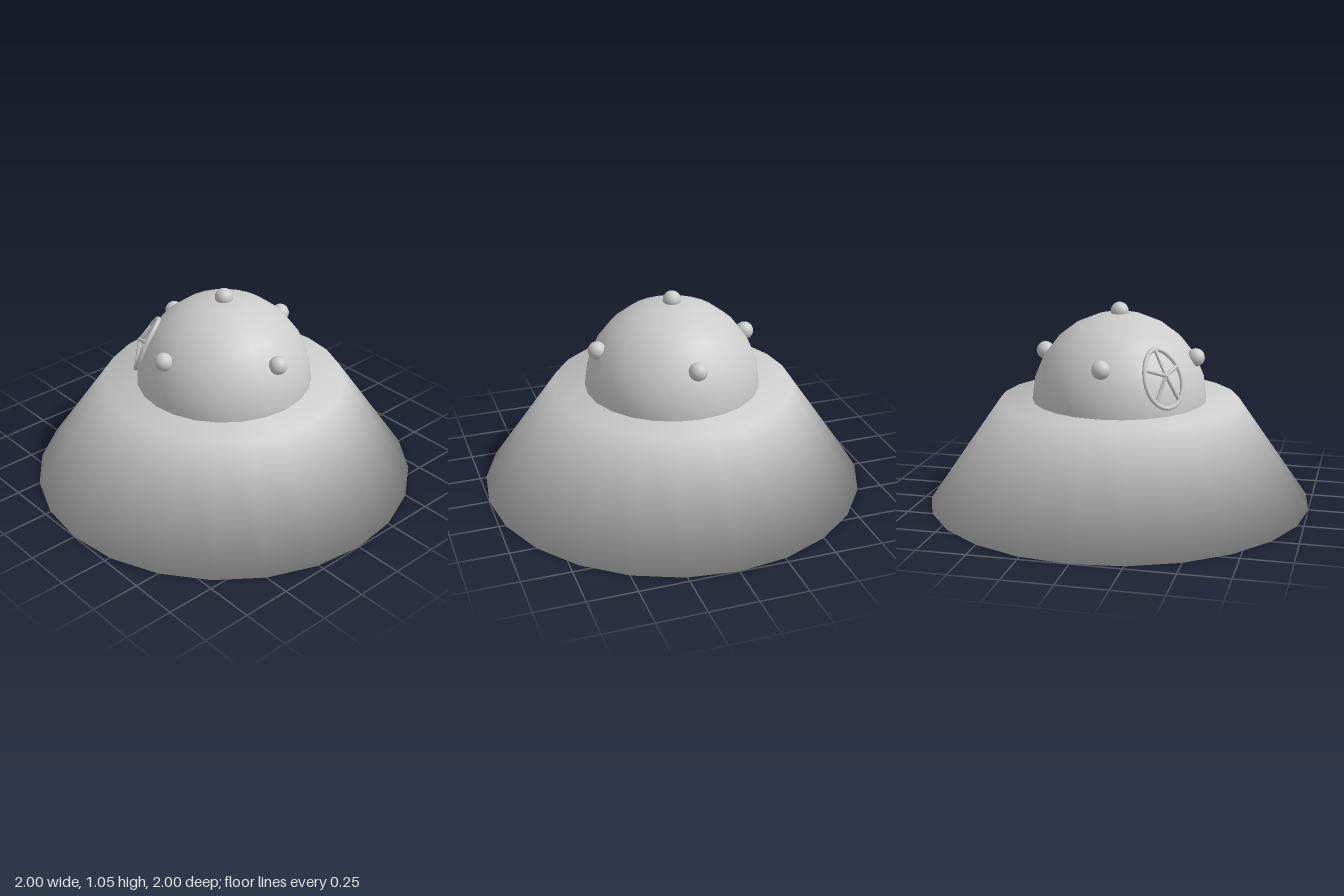
import * as THREE from 'three';

const DOME_Y = 0.54;
const DOME_R = 0.455;

// Point above the dome's centre from azimuth (0 = front, negative = right) and elevation in degrees
function onDome(azimuth, elevation, radius) {
  const a = THREE.MathUtils.degToRad(azimuth);
  const e = THREE.MathUtils.degToRad(elevation);
  return new THREE.Vector3(
    Math.sin(a) * Math.cos(e) * radius,
    DOME_Y + Math.sin(e) * radius,
    Math.cos(a) * Math.cos(e) * radius
  );
}

export function createModel() {
  const model = new THREE.Group();
  const material = new THREE.MeshStandardMaterial({ color: 0xcccccc });

  function add(name, geometry, parent = model) {
    const mesh = new THREE.Mesh(geometry, material);
    mesh.name = name;
    parent.add(mesh);
    return mesh;
  }

  // Wide sloping skirt, closed above and below, shaded smoothly over its rims
  const skirtProfile = [[0, 0], [1, 0], [0.625, DOME_Y], [0, DOME_Y]]
    .map(([r, y]) => new THREE.Vector2(r, y));
  add('skirt', new THREE.LatheGeometry(skirtProfile, 24));

  // Rounded crown
  add('dome', new THREE.SphereGeometry(DOME_R, 24, 12)).position.y = DOME_Y;

  // Knobs: one on the top and four around the crown
  const knob = new THREE.SphereGeometry(0.047, 16, 12);
  add('topKnob', knob).position.set(0, 1, 0);
  ['frontKnob', 'leftKnob', 'backKnob', 'rightKnob'].forEach((name, i) => {
    const a = i * Math.PI / 2;
    add(name, knob).position.set(Math.sin(a) * 0.4, 0.775, Math.cos(a) * 0.4);
  });

  // Oval badge that follows the crown, with five raised spokes
  const badge = new THREE.Group();
  badge.name = 'badge';
  model.add(badge);

  const rimPoint = (t) => onDome(-45 + 14.5 * Math.cos(t), 24.5 + 19 * Math.sin(t), 0.462);
  const rimPoints = [];
  for (let i = 0; i < 16; i++) rimPoints.push(rimPoint(i / 16 * Math.PI * 2));
  const rimCurve = new THREE.CatmullRomCurve3(rimPoints, true);
  add('badgeRim', new THREE.TubeGeometry(rimCurve, 48, 0.012, 8, true), badge);

  const hub = onDome(-45, 25, 0.48);
  for (let i = 0; i < 5; i++) {
    const spoke = new THREE.LineCurve3(hub, rimPoint(Math.PI / 2 + i / 5 * Math.PI * 2));
    add('badgeSpoke', new THREE.TubeGeometry(spoke, 1, 0.01, 6), badge);
  }
  add('badgeHub', new THREE.SphereGeometry(0.013, 8, 6), badge).position.copy(hub);

  return model;
}
